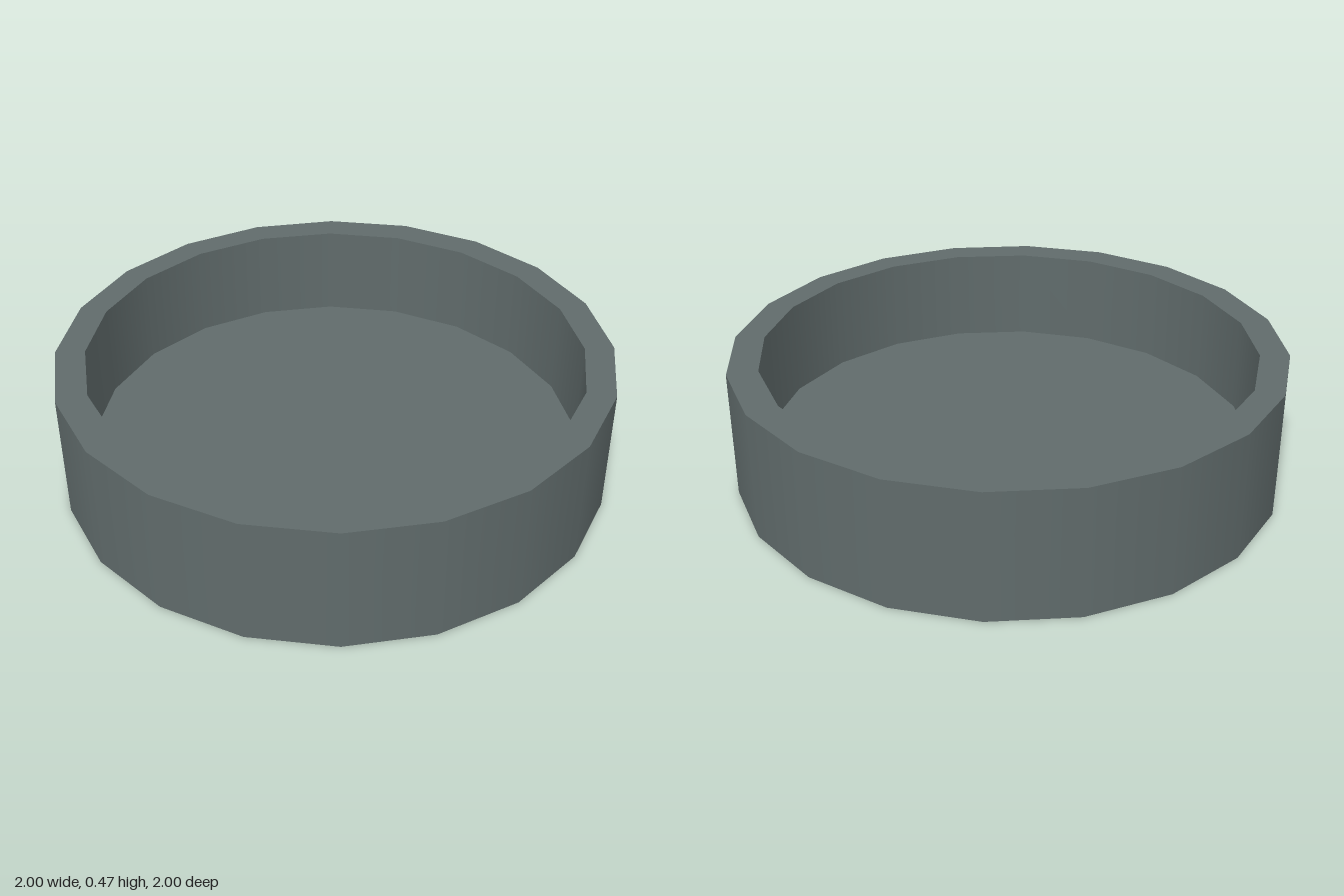
import * as THREE from 'three';

const SIDES = 20;
const OUTER = 1, INNER = 0.898, HEIGHT = 0.47, FLOOR = 0.12;
const INNER_Z = 0.985; // the opening is very slightly oval

// One surface of revolution between two profile points, so edges stay sharp
function ring(name, from, to, material) {
  const geometry = new THREE.LatheGeometry(
    [new THREE.Vector2(...from), new THREE.Vector2(...to)], SIDES);
  const pos = geometry.attributes.position;
  for (let i = 0; i < pos.count; i++) {
    const onOpening = Math.abs(Math.hypot(pos.getX(i), pos.getZ(i)) - INNER) < 0.01;
    if (onOpening) pos.setZ(i, pos.getZ(i) * INNER_Z);
  }
  const mesh = new THREE.Mesh(geometry, material);
  mesh.name = name;
  return mesh;
}

export function createModel() {
  const group = new THREE.Group();
  group.name = 'shallowRoundTray';
  const material = new THREE.MeshStandardMaterial({ color: 0x606b6b });

  // Closed profile, from the underside round over the rim to the inside floor
  group.add(
    ring('underside', [0, 0], [OUTER, 0], material),
    ring('outerWall', [OUTER, 0], [OUTER, HEIGHT], material),
    ring('rim', [OUTER, HEIGHT], [INNER, HEIGHT], material),
    ring('innerWall', [INNER, HEIGHT], [INNER, FLOOR], material),
    ring('insideFloor', [INNER, FLOOR], [0, FLOOR], material),
  );
  return group;
}
